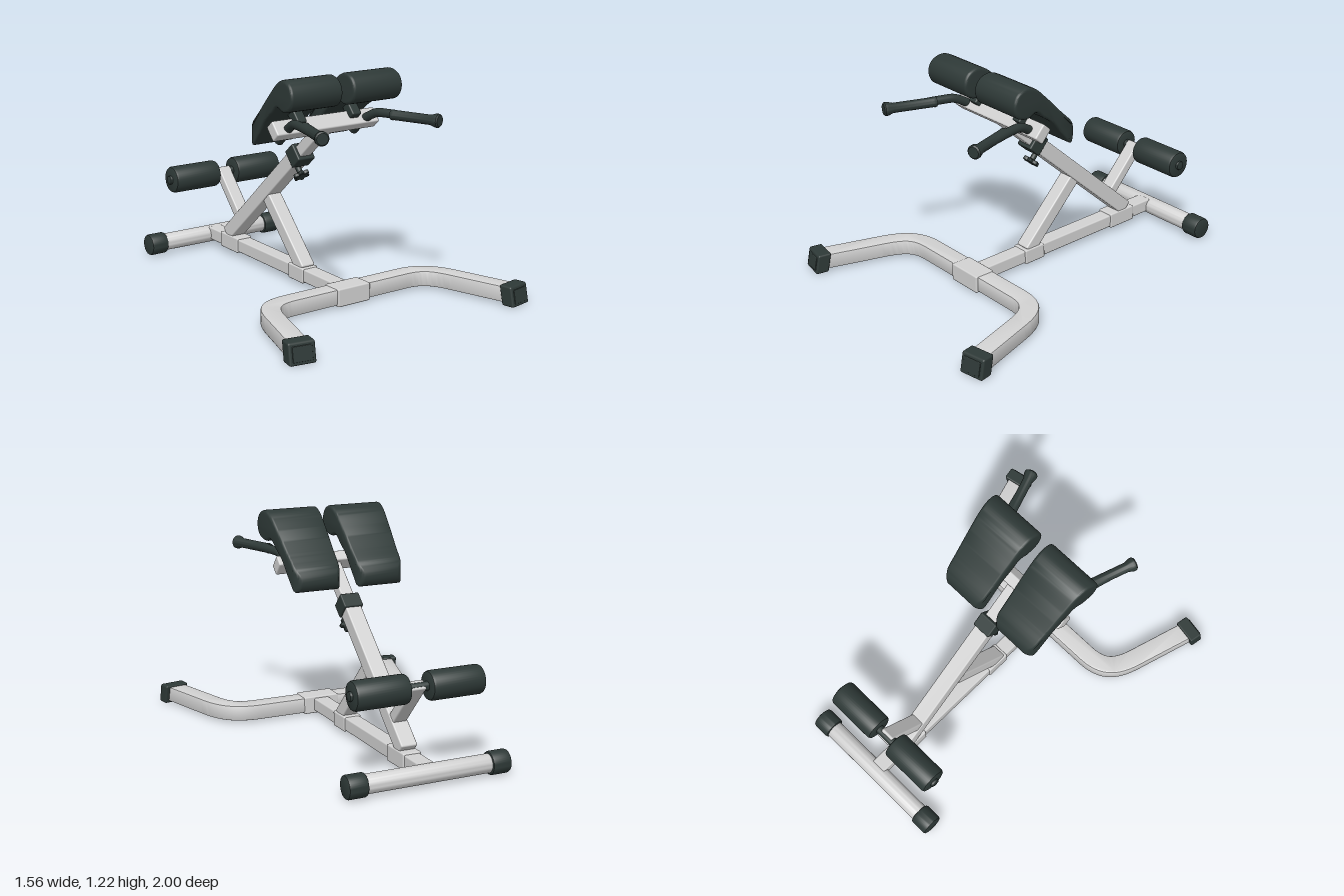
import * as THREE from 'three';
import { toCreasedNormals } from 'three/addons/utils/BufferGeometryUtils.js';
import { RoundedBoxGeometry } from 'three/addons/geometries/RoundedBoxGeometry.js';

const steel = new THREE.MeshStandardMaterial({ name: 'lightSteel', color: 0xd2d2d2 });
const dark = new THREE.MeshStandardMaterial({ name: 'darkVinyl', color: 0x2e3937 });

export function createModel() {
  const model = new THREE.Group();
  model.name = 'backExtensionBench';

  const add = (name, geometry, material, x = 0, y = 0, z = 0) => {
    const mesh = new THREE.Mesh(geometry, material);
    mesh.name = name;
    mesh.position.set(x, y, z);
    model.add(mesh);
    return mesh;
  };
  const block = (w, h, d, r = 0.008) => new RoundedBoxGeometry(w, h, d, 2, r);

  // Rectangular tube in the centre plane between two [z, y] points
  const beam = (name, a, b, width, thick, material = steel) => {
    const dz = b[0] - a[0], dy = b[1] - a[1];
    const mesh = add(name, block(width, thick, Math.hypot(dz, dy)), material,
      0, (a[1] + b[1]) / 2, (a[0] + b[0]) / 2);
    mesh.rotation.x = -Math.atan2(dy, dz);
    return mesh;
  };
  // Round part turned about the x axis; profile is [radius, x]
  const turnedX = (name, profile, material, x, y, z) => {
    const pts = profile.map(p => new THREE.Vector2(p[0], p[1]));
    const g = toCreasedNormals(new THREE.LatheGeometry(pts, 40).rotateZ(-Math.PI / 2), 0.6);
    return add(name, g, material, x, y, z);
  };
  const roundedRod = (r, half, e) => [[0, -half], [r - e, -half], [r - e * 0.3, -half + e * 0.3],
    [r, -half + e], [r, half - e], [r - e * 0.3, half - e * 0.3], [r - e, half], [0, half]];

  // Front U-shaped foot: offset outline of a curved centreline, extruded upward
  const bend = new THREE.CubicBezierCurve(new THREE.Vector2(0.37, 0.405), new THREE.Vector2(0.51, 0.405),
    new THREE.Vector2(0.56, 0.47), new THREE.Vector2(0.60, 0.61));
  const half = [...bend.getPoints(20), new THREE.Vector2(0.7, 0.94)];
  const line = [...half.map(p => new THREE.Vector2(-p.x, p.y)).reverse(), ...half];
  const offset = d => line.map((p, i) => {
    const t = line[Math.min(i + 1, line.length - 1)].clone().sub(line[Math.max(i - 1, 0)]).normalize();
    return new THREE.Vector2(p.x - t.y * d, -(p.y + t.x * d));
  });
  const footShape = new THREE.Shape([...offset(0.053), ...offset(-0.053).reverse()]);
  const footGeo = new THREE.ExtrudeGeometry(footShape, { depth: 0.07, bevelThickness: 0.009,
    bevelSize: 0.009, bevelOffset: -0.009, bevelSegments: 2 }).rotateX(-Math.PI / 2);
  add('frontFoot', toCreasedNormals(footGeo, 0.5), steel, 0, 0.021, 0);
  add('frontFootSleeve', block(0.212, 0.1, 0.122), steel, 0, 0.055, 0.409);

  // Slanted rubber end caps
  for (const s of [-1, 1]) {
    const g = block(0.142, 0.11, 0.075, 0.01);
    g.applyMatrix4(new THREE.Matrix4().set(1, 0, 0, 0, 0, 1, 0, 0, 0, -0.2, 1, 0, 0, 0, 0, 1));
    add('frontFootCap', g, dark, s * 0.703, 0.055, 0.945).rotation.y = s * 0.18;
    const inset = block(0.105, 0.075, 0.008, 0.003);
    inset.applyMatrix4(new THREE.Matrix4().set(1, 0, 0, 0, 0, 1, 0, 0, 0, -0.2, 1, 0, 0, 0, 0, 1));
    add('frontFootCapFace', inset, dark, s * 0.71, 0.055, 0.982).rotation.y = s * 0.18;
  }

  // Base beam with joint sleeves
  beam('baseBeam', [0.37, 0.057], [-0.92, 0.077], 0.09, 0.074);
  beam('strutSleeve', [0.07, 0.06], [-0.07, 0.063], 0.104, 0.086);
  beam('postSleeve', [-0.59, 0.072], [-0.775, 0.075], 0.104, 0.09);

  // Rear round foot
  turnedX('rearFoot', roundedRod(0.05, 0.42, 0.004), steel, 0, 0.065, -0.938);
  for (const s of [-1, 1])
    turnedX('rearFootCap', roundedRod(0.062, 0.054, 0.012), dark, s * 0.4, 0.064, -0.938);

  // Inclined post, sliding upper post, collar and strut
  const slope = 0.876, onPost = z => [z, 0.725 + slope * (z + 0.025)];
  const tilt = -Math.atan(slope);
  beam('mainPost', onPost(-0.72), onPost(-0.03), 0.092, 0.086);
  beam('slidingPost', onPost(-0.15), onPost(0.19), 0.074, 0.066);
  beam('collar', onPost(-0.058), onPost(0.008), 0.112, 0.106, dark);
  beam('diagonalStrut', [0.03, 0.085], [-0.3, 0.432], 0.086, 0.076);

  // Star knob below the collar
  const star = new THREE.Shape();
  for (let i = 0; i <= 60; i++) {
    const a = i / 60 * Math.PI * 2, r = 0.037 + 0.008 * Math.cos(a * 6);
    star[i ? 'lineTo' : 'moveTo'](r * Math.cos(a), r * Math.sin(a));
  }
  const knobAxis = new THREE.Vector3(0, -0.752, 0.659);
  const knobQ = new THREE.Quaternion().setFromUnitVectors(new THREE.Vector3(0, 0, 1), knobAxis);
  const knobGeo = new THREE.ExtrudeGeometry(star, { depth: 0.016, bevelSize: 0.003,
    bevelThickness: 0.003, bevelSegments: 1 });
  add('knob', toCreasedNormals(knobGeo, 0.7), dark, 0, 0.618, -0.017).quaternion.copy(knobQ);
  const stem = new THREE.CylinderGeometry(0.016, 0.016, 0.08, 20).rotateX(Math.PI / 2);
  add('knobStem', stem, dark, 0, 0.638, -0.035).quaternion.copy(knobQ);

  // Crossbar carrying pads and handles
  add('crossbar', block(0.67, 0.09, 0.065), steel, 0, 0.933, 0.195).rotation.x = tilt;

  // Hip pads: side profile [z, y] swept across and tapered toward the lower end
  const profile = [[0.32, 1.22], [0.257, 1.2], [0.166, 1.123], [0.06, 1.02], [-0.02, 0.945],
    [-0.049, 0.905], [-0.05, 0.855], [-0.018, 0.82], [0.043, 0.877], [0.123, 0.972], [0.19, 1.022],
    [0.25, 1.067], [0.305, 1.051], [0.38, 1.072], [0.406, 1.135], [0.382, 1.194]];
  const outline = new THREE.CatmullRomCurve3(profile.map(p => new THREE.Vector3(p[0], p[1], 0)), true);
  const padShape = new THREE.Shape(outline.getSpacedPoints(90).slice(0, -1)
    .map(p => new THREE.Vector2(p.x, p.y)));
  const { lerp, clamp } = THREE.MathUtils;
  for (const s of [-1, 1]) {
    const g = new THREE.ExtrudeGeometry(padShape, { depth: 0.97 - 0.07, bevelThickness: 0.05,
      bevelSize: 0.015, bevelOffset: -0.015, bevelSegments: 4 });
    g.translate(0, 0, -0.45).rotateY(-Math.PI / 2);
    const pos = g.attributes.position;
    for (let i = 0; i < pos.count; i++) {
      const z = pos.getZ(i), k = clamp((z + 0.05) / 0.45, 0, 1);
      const inner = lerp(0.052, 0.035, k), outer = lerp(0.318, 0.362, k);
      const corner = 0.025 * clamp(-z / 0.05, 0, 1) ** 2;
      pos.setX(i, s * (inner + outer) / 2 + pos.getX(i) * (outer - inner - 2 * corner));
    }
    add('hipPad', toCreasedNormals(g, 0.6), dark);
    add('padBracket', block(0.06, 0.09, 0.06), dark, s * 0.18, 0.99, 0.2).rotation.x = tilt;
  }

  // Bent handles passing through the crossbar, with flared grips
  const up = new THREE.Vector3(0, 1, 0);
  for (const s of [-1, 1]) {
    const path = new THREE.CatmullRomCurve3([[0.365, 0.985, 0.65], [0.32, 0.985, 0.5], [0.285, 0.985, 0.36],
      [0.272, 0.98, 0.3], [0.257, 0.945, 0.23], [0.247, 0.89, 0.155]]
      .map(p => new THREE.Vector3(s * p[0], p[1], p[2])));
    add('handleBar', new THREE.TubeGeometry(path, 40, 0.024, 20), dark);
    const plug = new THREE.CylinderGeometry(0.028, 0.028, 0.07, 24);
    add('handlePlug', plug, dark, s * 0.247, 0.886, 0.152).quaternion
      .setFromUnitVectors(up, new THREE.Vector3(0, 0.659, 0.752));
    const grip = [[0, 0], [0.027, 0], [0.029, 0.01], [0.027, 0.02], [0.027, 0.24], [0.037, 0.27],
      [0.037, 0.285], [0.03, 0.292], [0, 0.292]].map(p => new THREE.Vector2(...p));
    add('handleGrip', toCreasedNormals(new THREE.LatheGeometry(grip, 28), 0.6), dark, s * 0.284, 0.985, 0.41)
      .quaternion.setFromUnitVectors(up, new THREE.Vector3(s * 0.32, 0, 0.947).normalize());
  }

  // Ankle rollers on a rear arm
  beam('rollerArm', [-0.57, 0.21], [-0.825, 0.492], 0.08, 0.056);
  turnedX('rollerAxle', roundedRod(0.025, 0.375, 0.004), dark, 0, 0.475, -0.812);
  for (const s of [-1, 1])
    turnedX('ankleRoller', roundedRod(0.077, 0.151, 0.016), dark, s * 0.21, 0.475, -0.812);

  return model;
}
